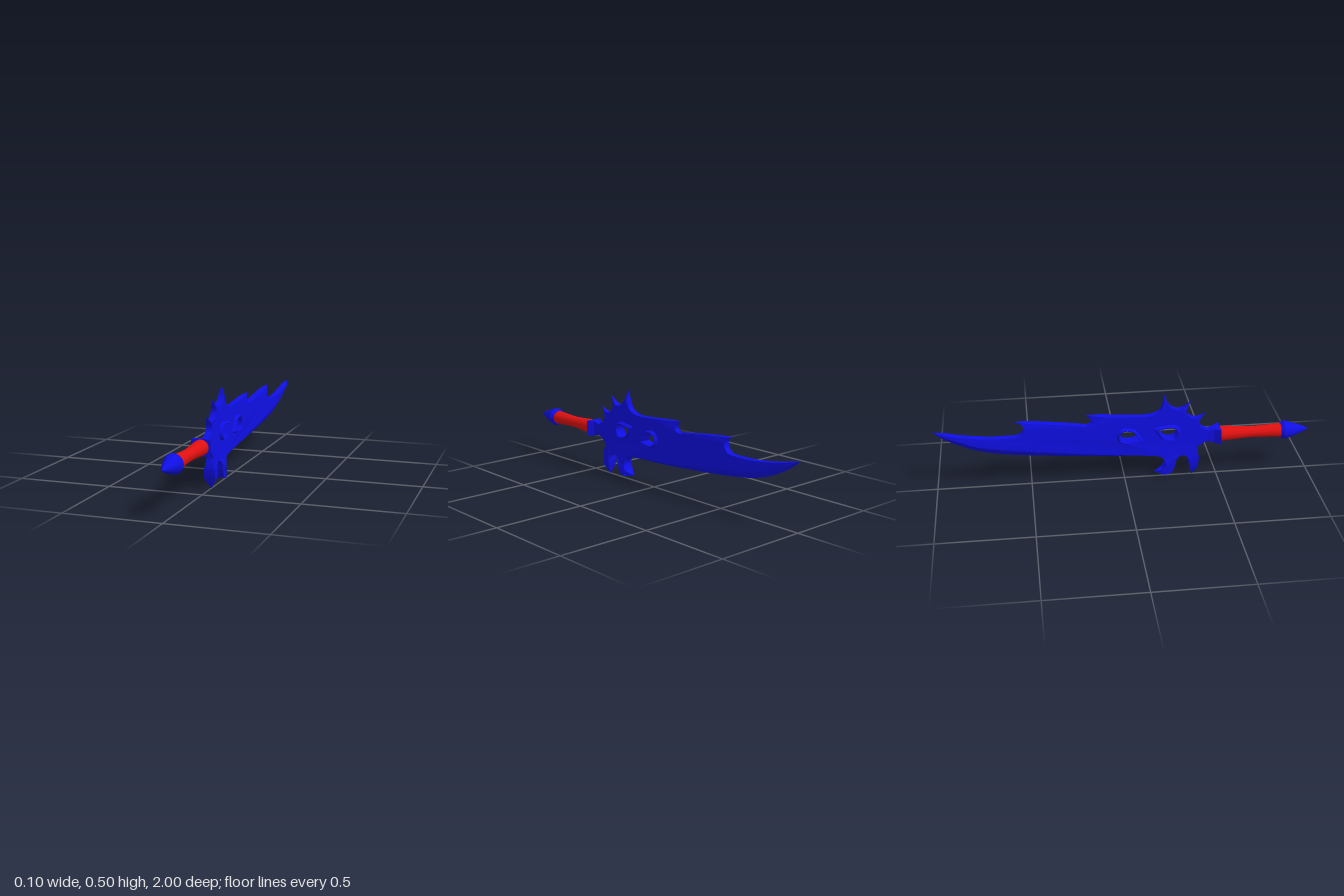
import * as THREE from 'three';
import { toCreasedNormals } from 'three/addons/utils/BufferGeometryUtils.js';

const blue = new THREE.MeshStandardMaterial({ color: 0x0f0fe6 });
const red = new THREE.MeshStandardMaterial({ color: 0xe01010 });
const AXIS_Y = 0.24;
const vecs = (pts) => pts.map(([x, y]) => new THREE.Vector2(x, y));

function addMesh(parent, name, geometry, material) {
  const mesh = new THREE.Mesh(geometry, material);
  mesh.name = name;
  parent.add(mesh);
  return mesh;
}

// Skin of quads between successive rows of points
function strip(rows) {
  const pos = [];
  for (let r = 0; r < rows.length - 1; r++) {
    for (let i = 0; i < rows[r].length - 1; i++) {
      const a = rows[r][i], b = rows[r][i + 1], c = rows[r + 1][i + 1], d = rows[r + 1][i];
      for (const p of [a, b, c, a, c, d]) pos.push(p.x, p.y, p.z);
    }
  }
  const g = new THREE.BufferGeometry();
  g.setAttribute('position', new THREE.Float32BufferAttribute(pos, 3));
  return toCreasedNormals(g, 0.6);
}

// Blade outline (length, height): smooth runs that meet at sharp corners
const upperRuns = [
  [[-0.40, 0.30], [-0.40, 0.335], [-0.435, 0.375]],
  [[-0.39, 0.35], [-0.35, 0.355], [-0.325, 0.39], [-0.35, 0.445]],
  [[-0.31, 0.41], [-0.27, 0.405], [-0.23, 0.435], [-0.21, 0.497]],
  [[-0.20, 0.43], [-0.18, 0.395], [-0.13, 0.375], [-0.05, 0.375], [0.08, 0.385], [0.205, 0.395]],
  [[0.18, 0.375], [0.175, 0.35], [0.20, 0.335]],
  [[0.38, 0.36], [0.58, 0.38]],
  [[0.54, 0.365], [0.53, 0.33], [0.555, 0.30], [0.59, 0.293]],
  [[0.72, 0.295], [0.87, 0.315], [1.0, 0.345]],
];
const bevelLine = [[1.0, 0.345], [0.95, 0.322], [0.87, 0.29], [0.77, 0.25],
  [0.61, 0.22], [0.34, 0.185], [0.07, 0.155], [-0.17, 0.135]];
const cuttingLine = [[1.0, 0.345], [0.95, 0.305], [0.87, 0.26], [0.77, 0.22],
  [0.61, 0.187], [0.34, 0.16], [0.07, 0.14], [-0.17, 0.134]];
const hookRuns = [
  [[-0.205, 0.12], [-0.22, 0.085], [-0.205, 0.05], [-0.16, 0.03]],
  [[-0.205, 0.02], [-0.25, 0.03], [-0.27, 0.07], [-0.28, 0.11], [-0.31, 0.13],
    [-0.345, 0.11], [-0.35, 0.07], [-0.367, 0]],
  [[-0.39, 0.05], [-0.40, 0.11], [-0.39, 0.165], [-0.41, 0.19], [-0.45, 0.21]],
];
const tips = vecs([[-0.435, 0.375], [-0.35, 0.445], [-0.21, 0.497], [0.205, 0.395],
  [0.58, 0.38], [1.0, 0.345], [-0.16, 0.03], [-0.367, 0]]);

// Half thickness: thin plate, heavier lower hooks, tapering to every tip
function halfThickness(x, y) {
  const hook = x < -0.13 ? 1 - THREE.MathUtils.smoothstep(y, 0.08, 0.16) : 0;
  const near = Math.min(...tips.map((t) => Math.hypot(t.x - x, t.y - y)));
  return Math.max(0.001, Math.min(0.017 + 0.012 * hook, near * (hook > 0 ? 0.5 : 0.28)));
}

// Teardrop opening, scaled about its centre; turn = -1 points it the other way
const teardrop = [[0.06, 0.027], [-0.005, 0.037], [-0.035, 0.027], [-0.045, 0],
  [-0.035, -0.023], [-0.015, -0.033], [0.02, -0.028], [0.04, -0.008], [0.06, 0.027]];
const openings = [{ x: -0.235, y: 0.268, turn: 1 }, { x: -0.017, y: 0.267, turn: -1 }];
function openingPoints({ x, y, turn }, scale) {
  return new THREE.SplineCurve(vecs(teardrop)).getPoints(32)
    .map((p) => new THREE.Vector2(x + p.x * scale * turn, y + p.y * scale * turn));
}

function bladeBody() {
  const shape = new THREE.Shape();
  shape.moveTo(-0.45, 0.21);
  shape.lineTo(-0.45, 0.27);
  for (const run of [...upperRuns, bevelLine.slice(1), ...hookRuns]) shape.splineThru(vecs(run));
  for (const o of openings) shape.holes.push(new THREE.Path(openingPoints(o, 1.06).slice(0, -1)));
  const g = new THREE.ExtrudeGeometry(shape, { depth: 1, bevelEnabled: false, curveSegments: 4 });
  const p = g.attributes.position;
  for (let i = 0; i < p.count; i++) {
    p.setZ(i, (p.getZ(i) > 0.5 ? 1 : -1) * halfThickness(p.getX(i), p.getY(i)));
  }
  return toCreasedNormals(g, 0.6);
}

function cuttingEdge() {
  const inner = new THREE.SplineCurve(vecs(bevelLine)).getPoints(32);
  const outer = new THREE.SplineCurve(vecs(cuttingLine)).getPoints(32);
  const side = (s) => inner.map((p) => new THREE.Vector3(p.x, p.y, s * halfThickness(p.x, p.y)));
  return strip([side(1), outer.map((p) => new THREE.Vector3(p.x, p.y, 0)), side(-1)]);
}

// Raised lip around an opening, same on both faces
function openingRim(o) {
  const section = [[1.45, 0.012], [1.12, 0.032], [1, 0.03], [1, -0.03], [1.12, -0.032], [1.45, -0.012]];
  return strip(section.map(([s, t]) =>
    openingPoints(o, s).map((p) => new THREE.Vector3(p.x, p.y, t))));
}

// Round part along z from [radius, z] pairs
function turned(profile) {
  const g = new THREE.LatheGeometry(vecs(profile), 32);
  g.rotateX(Math.PI / 2);
  g.translate(0, AXIS_Y, 0);
  return toCreasedNormals(g, 0.5);
}

// Square collar narrowing toward the blade
function collar() {
  const g = new THREE.BoxGeometry(2, 2, 2, 1, 1, 2);
  const p = g.attributes.position;
  const sections = { '-1': [0.018, 0.03, 0.445], 0: [0.024, 0.04, 0.48], 1: [0.05, 0.043, 0.512] };
  for (let i = 0; i < p.count; i++) {
    const [hx, hy, z] = sections[Math.round(p.getZ(i))];
    p.setXYZ(i, p.getX(i) * hx, AXIS_Y + p.getY(i) * hy, z);
  }
  return toCreasedNormals(g, 0.3);
}

export function createModel() {
  const model = new THREE.Group();
  model.name = 'sword';

  // Blade is drawn flat, then turned so its length runs toward -z
  const blade = new THREE.Group();
  blade.name = 'blade';
  blade.rotation.y = Math.PI / 2;
  model.add(blade);
  addMesh(blade, 'bladeBody', bladeBody(), blue);
  addMesh(blade, 'cuttingEdge', cuttingEdge(), blue);
  openings.forEach((o, i) => addMesh(blade, `openingRim${i + 1}`, openingRim(o), blue));

  // Hilt
  addMesh(model, 'collar', collar(), blue);
  addMesh(model, 'grip', turned([[0.04, 0.505], [0.039, 0.55], [0.034, 0.62], [0.031, 0.68],
    [0.032, 0.74], [0.036, 0.81], [0.038, 0.85]]), red);
  addMesh(model, 'pommel', turned([[0, 0.843], [0.04, 0.843], [0.05, 0.862], [0.045, 0.885],
    [0.03, 0.93], [0.013, 0.975], [0, 1.0]]), blue);
  return model;
}
